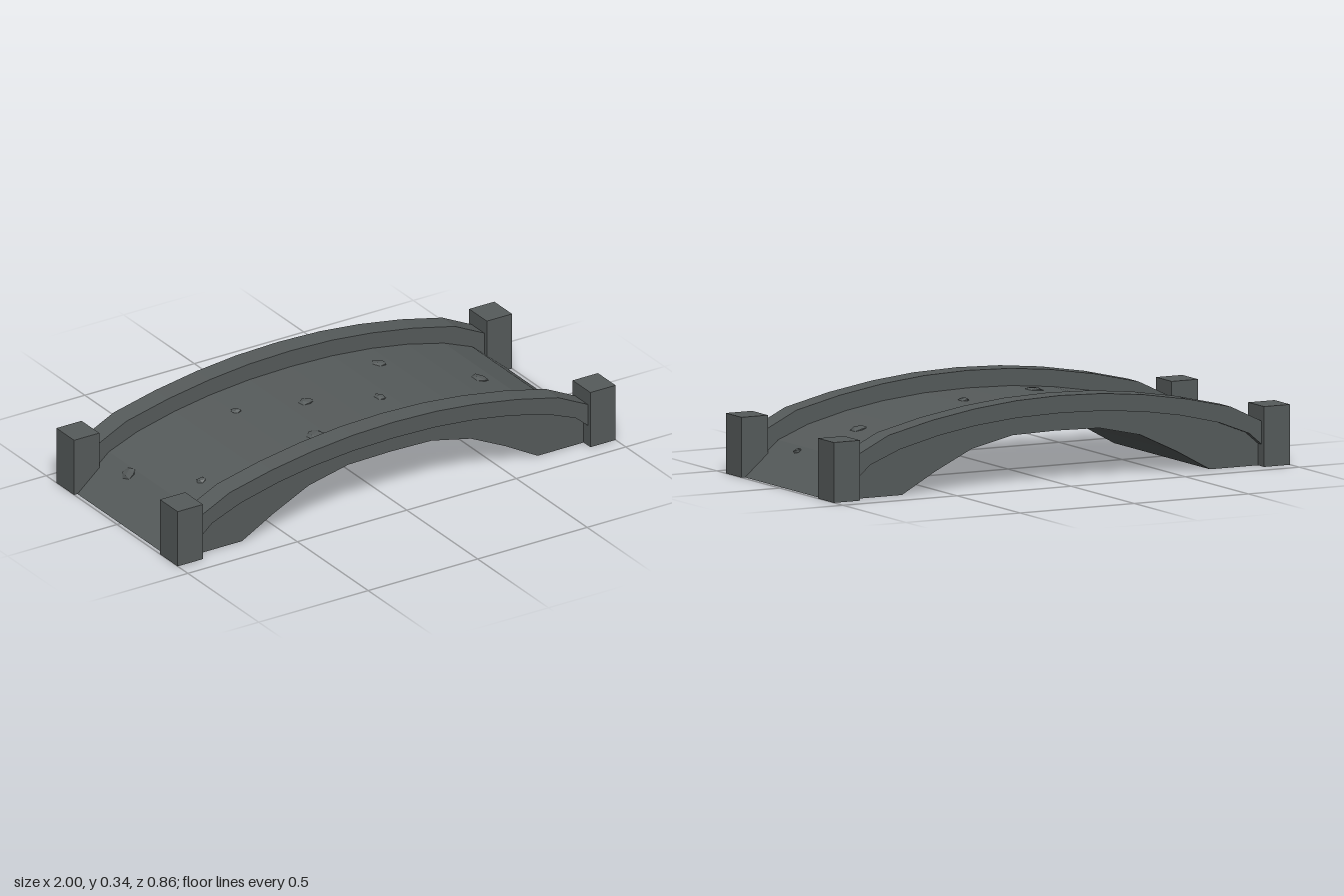
import * as THREE from 'three';

// Half profiles as [x, y], from the middle of the span outwards
const DECK_TOP = [[0, 0.272], [0.19, 0.267], [0.37, 0.25], [0.53, 0.224], [0.7, 0.183], [0.83, 0.132], [0.985, 0]];
const ARCH = [[0, 0.2], [0.19, 0.196], [0.37, 0.156], [0.53, 0.08], [0.675, 0]];
const WALL_TOP = [[0, 0.34], [0.19, 0.334], [0.37, 0.316], [0.56, 0.285], [0.75, 0.241], [0.88, 0.178], [0.95, 0.135]];
const WALL_BOTTOM = [...DECK_TOP.slice(0, 6), [0.95, 0.03]];

// Mirror a half profile into a full left-to-right line
const span = (half) => [...half.slice(1).reverse().map(([x, y]) => [-x, y]), ...half];

// Closed band between two profiles, extruded across the bridge
function band(top, bottom, width) {
  const pts = [...span(bottom), ...span(top).reverse()].map(([x, y]) => new THREE.Vector2(x, y));
  const geo = new THREE.ExtrudeGeometry(new THREE.Shape(pts), { depth: width, bevelEnabled: false });
  return geo.translate(0, 0, -width / 2);
}

// Height and slope of the walkway at x
function deckAt(x) {
  const line = span(DECK_TOP);
  const i = line.findIndex((p) => p[0] >= x);
  const [x0, y0] = line[i - 1], [x1, y1] = line[i];
  const slope = (y1 - y0) / (x1 - x0);
  return { y: y0 + slope * (x - x0), angle: Math.atan(slope) };
}

export function createModel() {
  const bridge = new THREE.Group();
  bridge.name = 'stoneBridge';
  const stone = new THREE.MeshStandardMaterial({ color: 0x565b5b });
  stone.name = 'darkStone';

  const add = (geo, name, x = 0, y = 0, z = 0) => {
    const mesh = new THREE.Mesh(geo, stone);
    mesh.name = name;
    mesh.position.set(x, y, z);
    bridge.add(mesh);
    return mesh;
  };

  // Arched walkway
  add(band(DECK_TOP, ARCH, 0.76), 'archedDeck');

  // Parapets, slightly overhanging the deck, with a post at each end
  const wall = band(WALL_TOP, WALL_BOTTOM, 0.09);
  const post = new THREE.BoxGeometry(0.115, 0.234, 0.125);
  for (const [side, z] of [['front', 1], ['back', -1]]) {
    add(wall, side + 'Parapet', 0, 0, 0.365 * z);
    for (const [end, x] of [['Left', 1], ['Right', -1]]) {
      add(post, side + end + 'Post', 0.9425 * x, 0.117, 0.3655 * z);
    }
  }

  // Flat cobbles set into the walkway: x, z, half width, half length, turn
  const cobbles = [
    [-0.85, -0.15, 0.028, 0.036, 0.3], [-0.36, -0.15, 0.018, 0.024, 0.7],
    [0.32, -0.19, 0.028, 0.034, 0.5], [-0.11, -0.04, 0.033, 0.028, 0.2],
    [0.15, 0.08, 0.02, 0.031, 0.1], [0.635, 0.035, 0.033, 0.04, 0],
    [0.85, 0.13, 0.012, 0.022, 0.4], [-0.715, 0.155, 0.018, 0.022, 0.6],
    [-0.23, 0.21, 0.036, 0.04, 0.2],
  ];
  const pebble = new THREE.IcosahedronGeometry(1, 0);
  cobbles.forEach(([x, z, w, l, turn], i) => {
    const { y, angle } = deckAt(x);
    const mesh = add(pebble, 'cobble' + (i + 1), x, y, z);
    mesh.scale.set(w, 0.01, l);
    mesh.rotation.set(0, turn, angle, 'ZYX');
  });

  return bridge;
}
